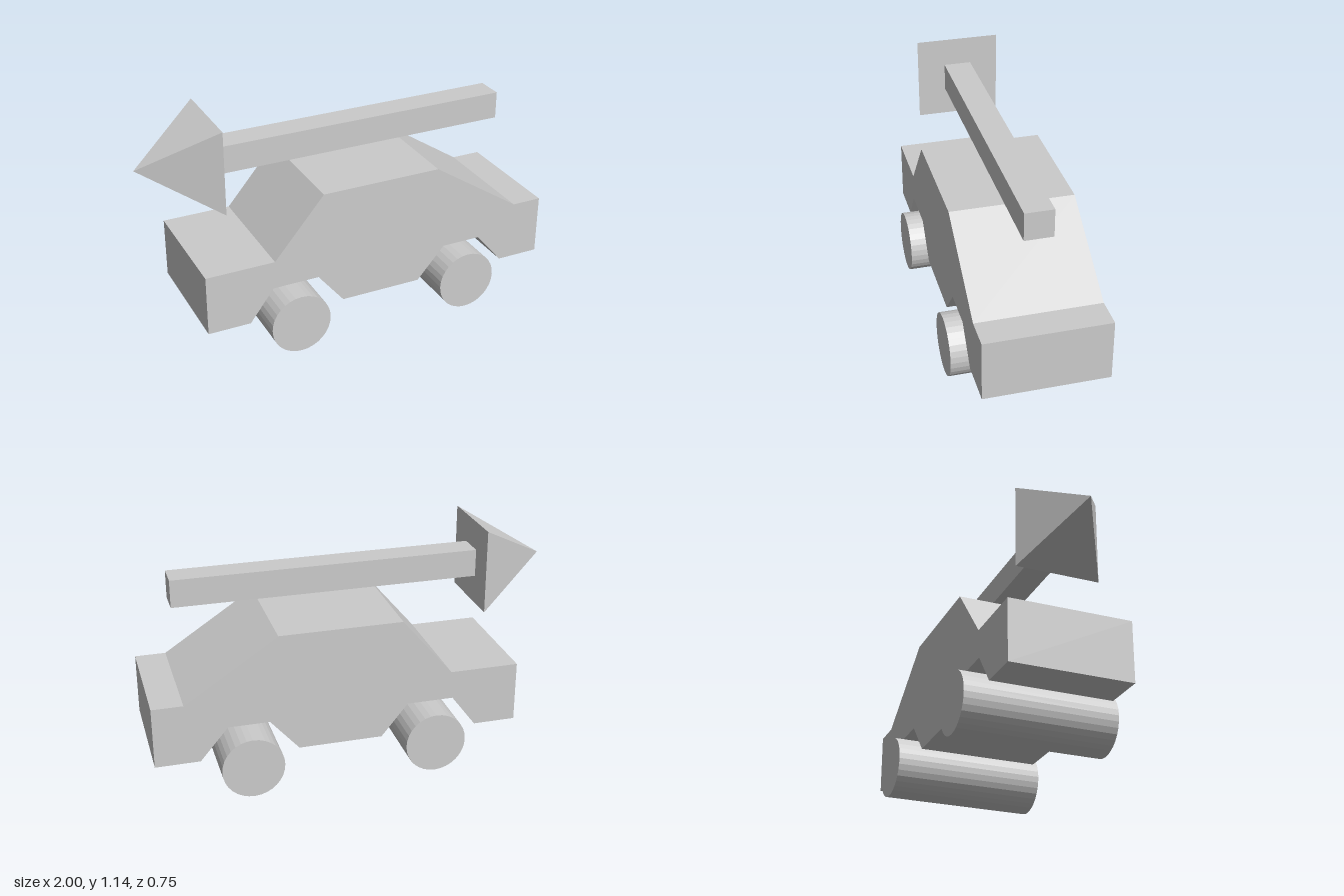
import * as THREE from 'three';

export function createModel() {
  const model = new THREE.Group();
  model.name = 'carWithRoofArrow';
  const material = new THREE.MeshStandardMaterial({ color: 0xcccccc, flatShading: true });

  const add = (name, geometry, x, y, z) => {
    const mesh = new THREE.Mesh(geometry, material);
    mesh.name = name;
    mesh.position.set(x, y, z);
    model.add(mesh);
  };

  // Car body: side profile with angular wheel arches, extruded across the width
  const profile = [
    [-0.79, 0.18], [-0.58, 0.18], [-0.46, 0.34], [-0.23, 0.34], [-0.1, 0.18],
    [0.31, 0.18], [0.45, 0.34], [0.65, 0.34], [0.785, 0.18], [1, 0.18],
    [1, 0.48], [0.85, 0.48], [0.4, 0.775], [-0.2, 0.775], [-0.45, 0.48], [-0.79, 0.48],
  ].map(([x, y]) => new THREE.Vector2(x, y));
  const body = new THREE.ExtrudeGeometry(new THREE.Shape(profile), { depth: 0.595, bevelEnabled: false });
  add('body', body, 0, 0, -0.29);

  // Wheels: one long roller per axle
  for (const [name, x] of [['rearWheels', -0.35], ['frontWheels', 0.55]]) {
    add(name, new THREE.CylinderGeometry(0.15, 0.15, 0.75, 32).rotateX(Math.PI / 2), x, 0.152, 0);
  }

  // Arrow above the roof: square shaft and a four-sided head pointing to -x
  add('arrowShaft', new THREE.BoxGeometry(1.5, 0.135, 0.135), 0.1, 0.936, 0.016);
  const head = new THREE.ConeGeometry(0.206 * Math.SQRT2, 0.355, 4)
    .rotateY(Math.PI / 4)
    .rotateZ(Math.PI / 2);
  add('arrowHead', head, -0.8225, 0.936, 0.016);

  return model;
}
